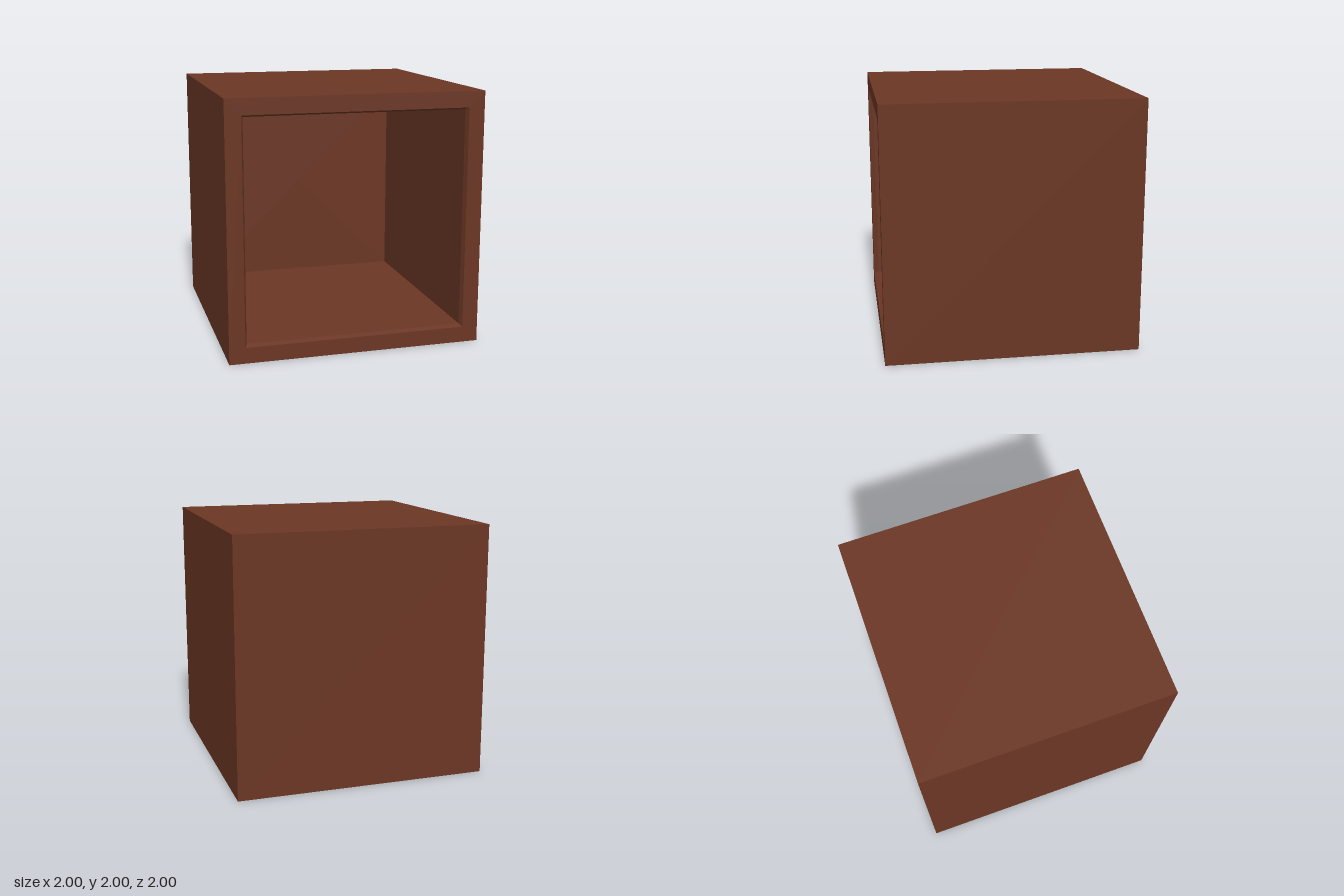
import * as THREE from 'three';

const brown = new THREE.MeshStandardMaterial({ color: 0x6b3624 });
brown.name = 'brown';

// Square shell around the z axis from a profile of [half width, z] points, with flat faces
function squareShell(name, profile) {
  const points = profile.map(([half, z]) => new THREE.Vector2(half * Math.SQRT2, z));
  const geometry = new THREE.LatheGeometry(points, 4, Math.PI / 4).toNonIndexed();
  geometry.rotateX(Math.PI / 2);
  geometry.computeVertexNormals();
  const mesh = new THREE.Mesh(geometry, brown);
  mesh.name = name;
  mesh.position.y = 1;
  return mesh;
}

export function createModel() {
  const group = new THREE.Group();
  group.name = 'openBox';

  const outer = 1, opening = 0.875, inner = 0.859;
  const lipZ = 0.96, backZ = -0.875;

  // Closed back, four sides and the front rim
  group.add(squareShell('outerShell', [[0, -1], [outer, -1], [outer, 1], [opening, 1]]));
  // Narrow chamfer around the opening
  group.add(squareShell('openingChamfer', [[opening, 1], [inner, lipZ]]));
  // Inner walls and back panel
  group.add(squareShell('interior', [[inner, lipZ], [inner, backZ], [0, backZ]]));

  return group;
}
